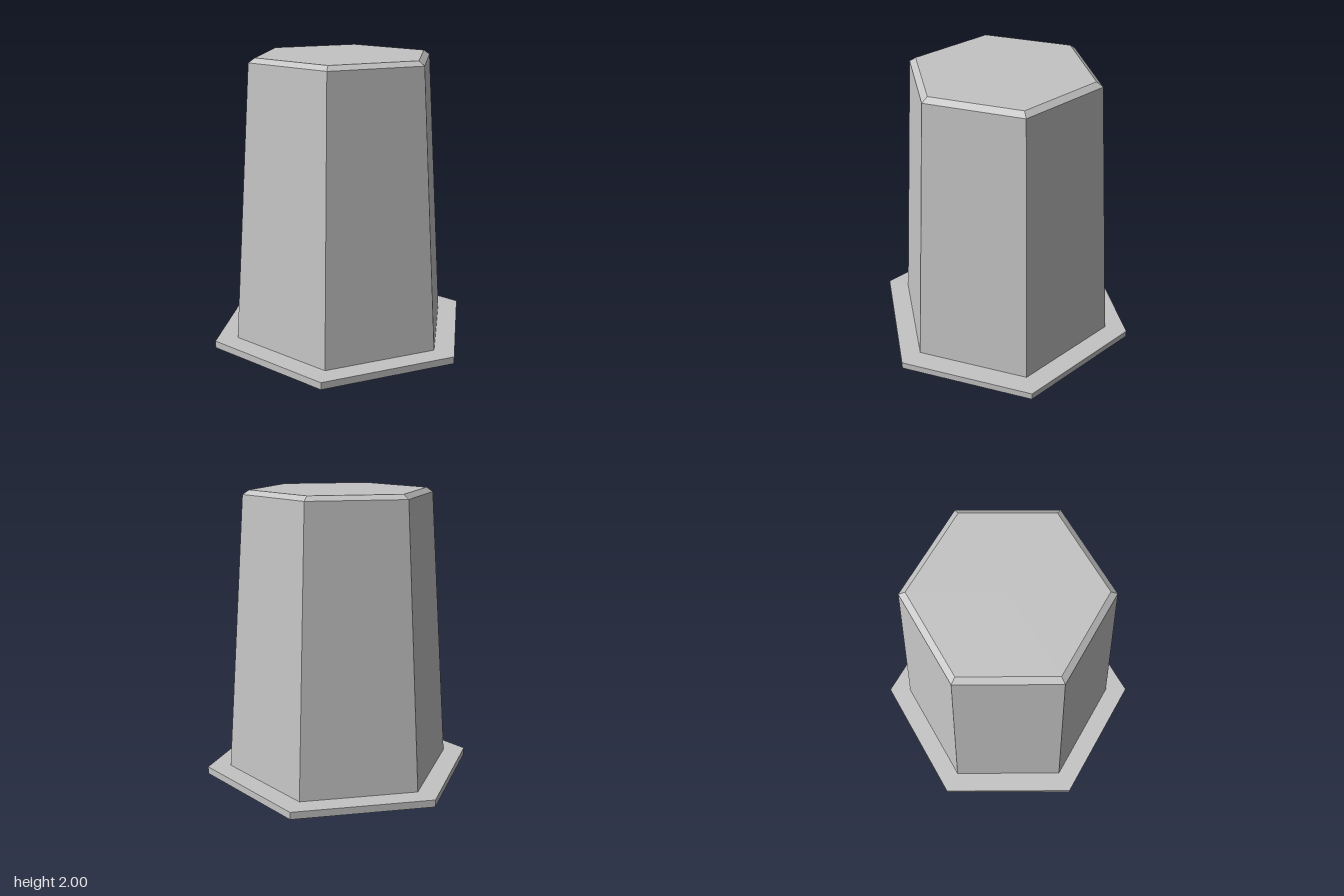
import * as THREE from 'three';

export function createModel() {
  const model = new THREE.Group();
  model.name = 'hexagonalPedestal';

  const grey = new THREE.MeshStandardMaterial({ color: 0xc4c4c4, flatShading: true });
  grey.name = 'light grey';

  // One six-sided tapered section with corners on the z axis
  function section(name, bottomRadius, topRadius, y0, y1, open = false) {
    const geometry = new THREE.CylinderGeometry(topRadius, bottomRadius, y1 - y0, 6, 1, open);
    const mesh = new THREE.Mesh(geometry, grey);
    mesh.name = name;
    mesh.position.y = (y0 + y1) / 2;
    model.add(mesh);
  }

  // Flat flange at the foot
  section('baseFlange', 0.955, 0.955, 0, 0.05);
  // Tapered body
  section('body', 0.795, 0.658, 0.05, 1.97, true);
  // Bevelled top with its flat cap
  section('topBevel', 0.658, 0.613, 1.97, 2);

  return model;
}
